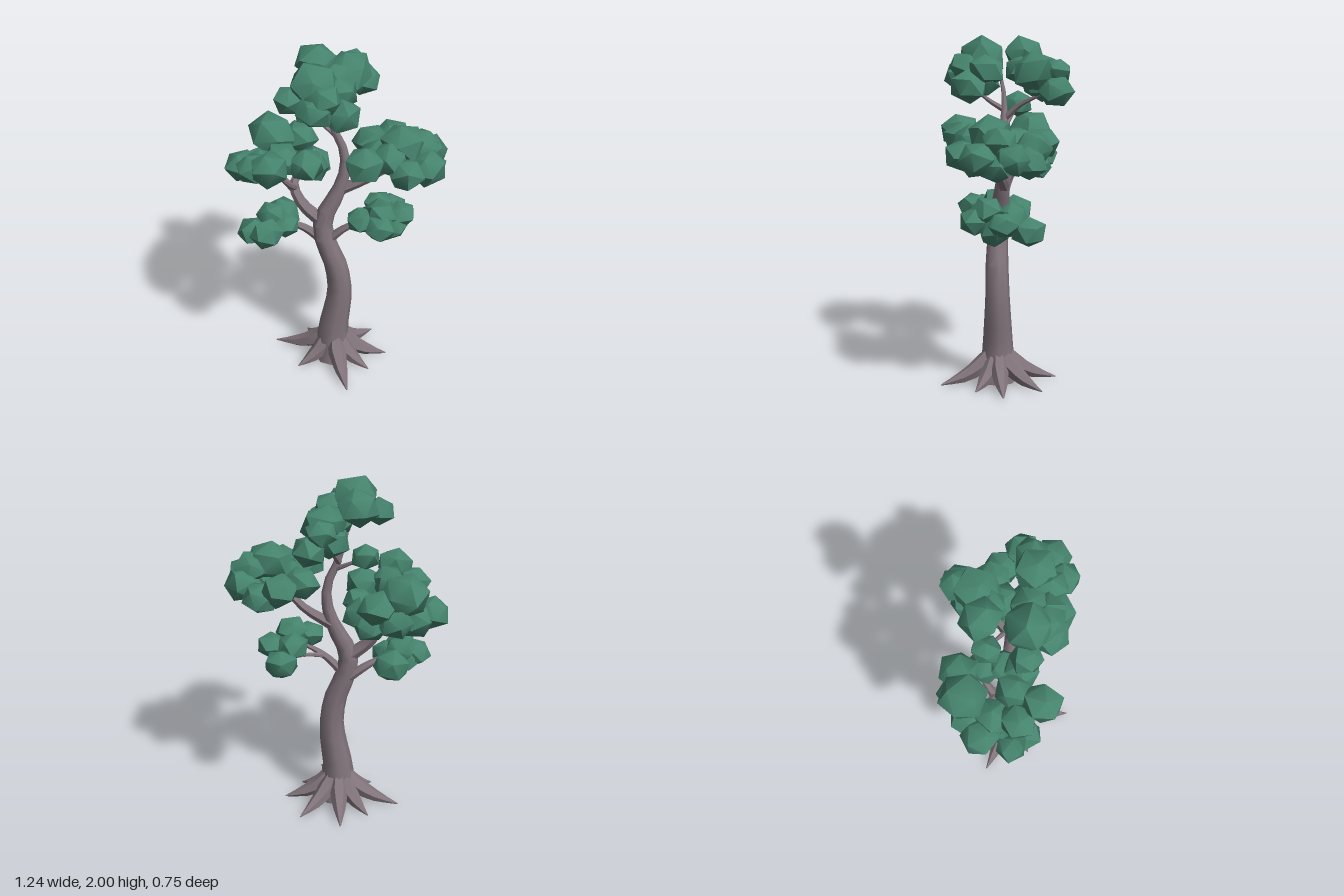
import * as THREE from 'three';
import { toCreasedNormals, mergeVertices } from 'three/addons/utils/BufferGeometryUtils.js';

const bark = new THREE.MeshStandardMaterial({ color: 0x82757c });
bark.name = 'bark';
const leaf = new THREE.MeshStandardMaterial({ color: 0x45836d });
leaf.name = 'leaf green';

// Small seeded random generator
let seed = 7;
const rand = () => {
  seed = (seed * 16807) % 2147483647;
  return seed / 2147483647;
};

// Tapered limb: a tube of radius 1 whose rings are rescaled; points are [x, y, z, radius]
function limb(name, points, sides = 7, segments = 8) {
  const curve = new THREE.CatmullRomCurve3(points.map(p => new THREE.Vector3(p[0], p[1], p[2])));
  const geo = new THREE.TubeGeometry(curve, segments, 1, sides, false);
  const pos = geo.attributes.position;
  const v = new THREE.Vector3();
  for (let i = 0; i <= segments; i++) {
    const centre = curve.getPointAt(i / segments);
    const t = curve.getUtoTmapping(i / segments) * (points.length - 1);
    const k = Math.min(Math.floor(t), points.length - 2);
    const radius = THREE.MathUtils.lerp(points[k][3], points[k + 1][3], t - k);
    for (let j = 0; j <= sides; j++) {
      const n = i * (sides + 1) + j;
      v.fromBufferAttribute(pos, n).sub(centre).multiplyScalar(radius).add(centre);
      pos.setXYZ(n, v.x, Math.max(v.y, 0), v.z);
    }
  }
  const mesh = new THREE.Mesh(toCreasedNormals(geo, 0.8), bark);
  mesh.name = name;
  return mesh;
}

// Coarse, slightly flattened and irregular leaf clump
function clump(x, y, z, r) {
  let geo = new THREE.IcosahedronGeometry(1, 0);
  geo.deleteAttribute('normal');
  geo.deleteAttribute('uv');
  geo = mergeVertices(geo, 1e-3);
  const pos = geo.attributes.position;
  for (let i = 0; i < pos.count; i++) {
    const k = 1 + 0.15 * rand();
    pos.setXYZ(i, pos.getX(i) * k, pos.getY(i) * k, pos.getZ(i) * k);
  }
  geo.rotateX(rand() * 6);
  geo.rotateY(rand() * 6);
  geo.scale(r, r * 0.87, r);
  const mesh = new THREE.Mesh(toCreasedNormals(geo, 0.75), leaf);
  mesh.name = 'leafClump';
  mesh.position.set(x, y, z);
  return mesh;
}

// Leaf clumps by crown section: [x, y, z, radius]
const foliage = {
  topFoliage: [
    [-0.11, 1.88, 0.11, 0.13], [-0.1, 1.9, -0.13, 0.11], [0.08, 1.82, -0.17, 0.125],
    [0.16, 1.72, -0.27, 0.095], [-0.24, 1.79, 0.12, 0.085], [-0.1, 1.78, 0.22, 0.1],
    [0.04, 1.74, 0.19, 0.105], [0.02, 1.82, 0.1, 0.105], [0.05, 1.75, -0.2, 0.105],
    [0.1, 1.82, -0.28, 0.085], [-0.15, 1.61, -0.1, 0.08], [-0.06, 1.83, 0.2, 0.1],
    [0, 1.75, 0.11, 0.09], [0, 1.82, -0.1, 0.09],
  ],
  rightFoliage: [
    [0.37, 1.52, 0.1, 0.12], [0.5, 1.42, 0.18, 0.11], [0.52, 1.42, 0.01, 0.1],
    [0.38, 1.42, 0.25, 0.1], [0.16, 1.46, 0.23, 0.11], [0.32, 1.44, -0.13, 0.1],
    [0.42, 1.38, -0.09, 0.1], [0.2, 1.45, -0.06, 0.1], [0.29, 1.48, 0.2, 0.1],
    [0.52, 1.37, 0.09, 0.085], [0.46, 1.5, 0.07, 0.1], [0.24, 1.44, 0.09, 0.1],
    [0.4, 1.4, 0.1, 0.1],
  ],
  leftFoliage: [
    [-0.36, 1.42, -0.2, 0.135], [-0.52, 1.27, -0.1, 0.1], [-0.2, 1.37, -0.25, 0.105],
    [-0.35, 1.43, 0.22, 0.11], [-0.44, 1.37, 0.1, 0.1], [-0.16, 1.38, 0.09, 0.1],
    [-0.12, 1.28, -0.12, 0.1], [-0.3, 1.29, -0.25, 0.1], [-0.42, 1.25, -0.17, 0.1],
    [-0.41, 1.31, -0.03, 0.105], [-0.17, 1.25, -0.21, 0.095], [-0.12, 1.31, -0.01, 0.09],
    [-0.29, 1.4, 0.06, 0.1],
  ],
  lowerLeftFoliage: [
    [-0.46, 0.94, 0.07, 0.085], [-0.38, 0.96, 0.14, 0.09], [-0.3, 0.95, -0.1, 0.105],
    [-0.36, 1.0, 0, 0.085], [-0.4, 0.91, 0.05, 0.085], [-0.28, 0.96, 0.05, 0.075],
  ],
  lowerRightFoliage: [
    [0.15, 1.05, 0.13, 0.085], [0.25, 1.08, 0.11, 0.09], [0.37, 1.03, 0.04, 0.085],
    [0.32, 0.98, -0.11, 0.095], [0.25, 1.03, 0.18, 0.09], [0.25, 1.05, -0.03, 0.085],
    [0.32, 0.98, 0.08, 0.085],
  ],
};

// Branches: [x, y, z, radius]
const branches = {
  lowerLeftBranch: [[-0.07, 0.83, 0, 0.03], [-0.18, 0.91, -0.01, 0.022], [-0.37, 1.0, 0.02, 0.006]],
  lowerRightBranch: [[-0.06, 0.82, 0.02, 0.03], [0.07, 0.95, 0.05, 0.02], [0.26, 1.05, 0.09, 0.006]],
  lowerRightTwig: [[0.07, 0.95, 0.05, 0.016], [0.17, 0.98, 0, 0.012], [0.3, 1.0, -0.09, 0.005]],
  leftBranch: [[-0.07, 0.96, 0.01, 0.04], [-0.19, 1.07, -0.02, 0.033], [-0.23, 1.17, -0.06, 0.026],
    [-0.19, 1.24, -0.11, 0.018], [-0.14, 1.31, -0.14, 0.006]],
  leftOuterTwig: [[-0.22, 1.13, -0.04, 0.022], [-0.3, 1.21, -0.07, 0.017], [-0.4, 1.3, -0.1, 0.006]],
  leftFrontTwig: [[-0.22, 1.15, -0.05, 0.02], [-0.27, 1.25, 0.06, 0.014], [-0.33, 1.4, 0.18, 0.005]],
  rightBranch: [[0.03, 1.17, 0, 0.034], [0.17, 1.25, 0.03, 0.025], [0.24, 1.31, 0.06, 0.021],
    [0.31, 1.35, 0.07, 0.016], [0.46, 1.36, 0.1, 0.006]],
  rightUpperTwig: [[0.23, 1.3, 0.05, 0.018], [0.27, 1.37, 0.1, 0.013], [0.33, 1.48, 0.13, 0.005]],
  topBackTwig: [[-0.01, 1.55, -0.01, 0.02], [0.03, 1.63, -0.09, 0.015], [0.14, 1.72, -0.24, 0.005]],
  topFrontTwig: [[-0.03, 1.6, 0, 0.018], [-0.03, 1.66, 0.09, 0.013], [-0.05, 1.77, 0.2, 0.005]],
  smallSideTwig: [[0.02, 1.5, 0, 0.016], [-0.06, 1.55, -0.05, 0.011], [-0.15, 1.61, -0.1, 0.005]],
};

// Root tips on the ground: [x, z]
const rootTips = [
  [0.07, 0.37], [0.31, 0.03], [0.23, -0.2], [0, -0.31], [-0.36, -0.1],
  [-0.22, 0.15], [0.2, 0.18], [-0.17, -0.21],
];

export function createModel() {
  const tree = new THREE.Group();
  tree.name = 'tree';

  // Winding trunk
  tree.add(limb('trunk', [
    [-0.01, 0, 0.03, 0.11], [-0.01, 0.2, 0.03, 0.09], [0.028, 0.5, 0.035, 0.071],
    [0, 0.7, 0.035, 0.066], [-0.055, 0.84, 0.025, 0.06], [-0.065, 0.98, 0.015, 0.055],
    [-0.01, 1.1, 0.01, 0.048], [0.045, 1.24, 0.005, 0.034], [0.055, 1.4, 0, 0.026],
    [0, 1.54, -0.005, 0.021], [-0.04, 1.67, -0.01, 0.014], [-0.09, 1.86, 0.02, 0.005],
  ], 8, 22));

  // Underside of the trunk
  const base = new THREE.Mesh(new THREE.CircleGeometry(0.11, 8).rotateX(Math.PI / 2), bark);
  base.name = 'trunkBase';
  base.position.set(-0.01, 0.005, 0.03);
  tree.add(base);

  // Flared roots
  const roots = new THREE.Group();
  roots.name = 'roots';
  for (const [x, z] of rootTips) {
    const along = (f, y, r) => [-0.01 + (x + 0.01) * f, y, 0.03 + (z - 0.03) * f, r];
    roots.add(limb('root', [
      along(0.08, 0.21, 0.03), along(0.27, 0.11, 0.056), along(0.6, 0.045, 0.038), along(1, 0.008, 0.003),
    ], 6, 6));
  }
  tree.add(roots);

  // Branches
  for (const [name, points] of Object.entries(branches)) tree.add(limb(name, points, 6, 8));

  // Foliage
  for (const [name, clumps] of Object.entries(foliage)) {
    const group = new THREE.Group();
    group.name = name;
    for (const c of clumps) group.add(clump(...c));
    tree.add(group);
  }
  return tree;
}
